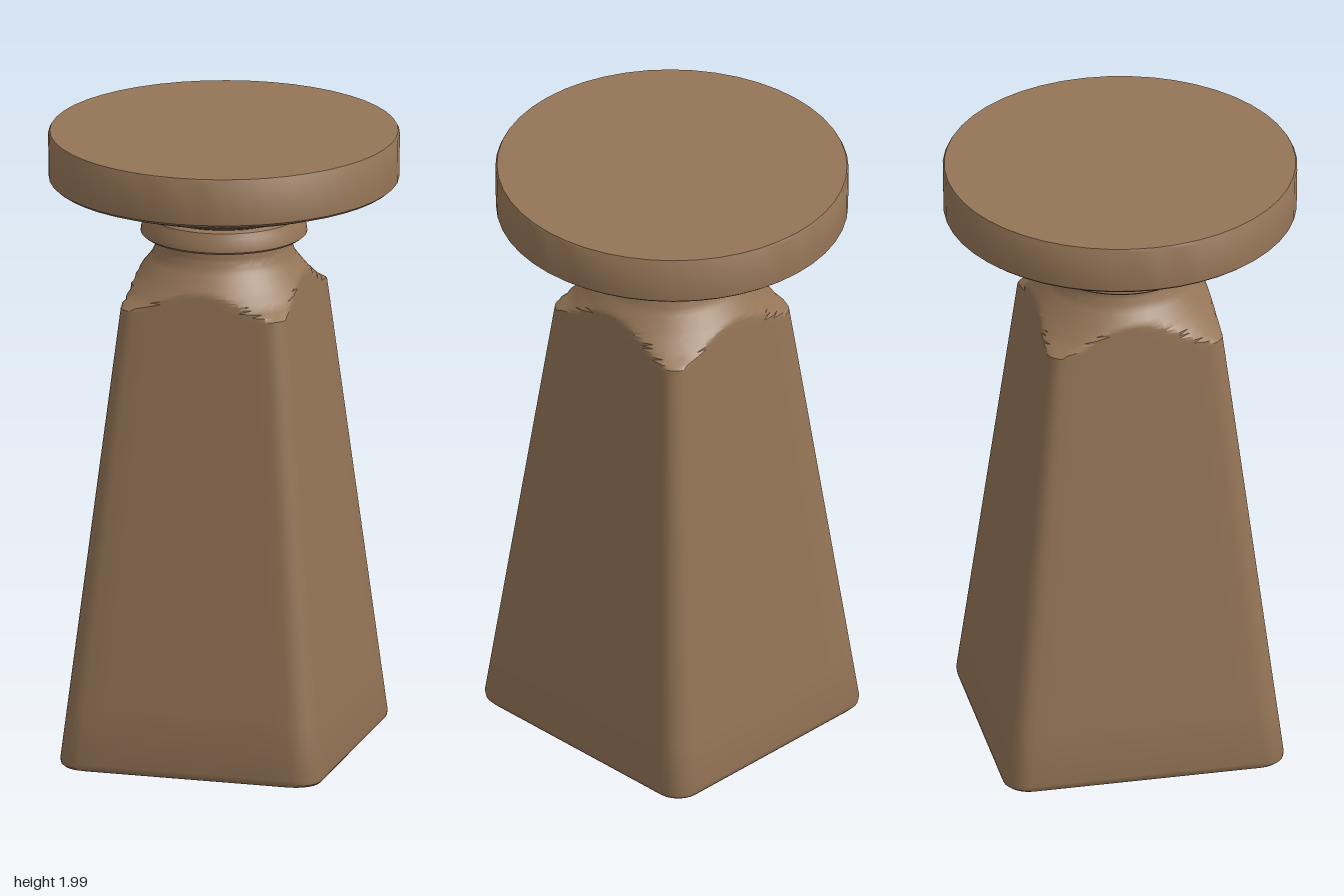
import * as THREE from 'three';
import { toCreasedNormals } from 'three/addons/utils/BufferGeometryUtils.js';

const wood = new THREE.MeshStandardMaterial({ color: 0x947456 });
wood.name = 'brown wood';
wood.userData.part = 'wood';

// Outline of a rounded rectangle, counter-clockwise seen from above
function roundedRect(hx, hz, r) {
  const pts = [], arc = 6, side = 10;
  for (let c = 0; c < 4; c++) {
    const sx = c === 0 || c === 3 ? 1 : -1, sz = c < 2 ? 1 : -1;
    for (let i = 0; i <= arc; i++) {
      const a = (c + i / arc) * Math.PI / 2;
      pts.push([sx * (hx - r) + r * Math.cos(a), sz * (hz - r) + r * Math.sin(a)]);
    }
    // straight side towards the next corner
    const n = (c + 1) % 4;
    const nx = n === 0 || n === 3 ? 1 : -1, nz = n < 2 ? 1 : -1;
    const a = (c + 1) * Math.PI / 2;
    const end = [nx * (hx - r) + r * Math.cos(a), nz * (hz - r) + r * Math.sin(a)];
    const start = pts[pts.length - 1];
    for (let i = 1; i < side; i++) {
      const t = i / side;
      pts.push([start[0] + (end[0] - start[0]) * t, start[1] + (end[1] - start[1]) * t]);
    }
  }
  return pts;
}

// Round shoulder that trims the tapered square body
const shoulder = [[1.44, 0.42], [1.47, 0.365], [1.5, 0.315], [1.54, 0.275], [1.57, 0.25],
  [1.6, 0.226], [1.63, 0.213], [1.67, 0.208]];
function shoulderRadius(y) {
  if (y <= shoulder[0][0]) return Infinity;
  for (let i = 1; i < shoulder.length; i++) {
    const [y0, r0] = shoulder[i - 1], [y1, r1] = shoulder[i];
    if (y <= y1) return r0 + (r1 - r0) * (y - y0) / (y1 - y0);
  }
  return shoulder[shoulder.length - 1][1];
}

function bodyGeometry() {
  // height and inset of each cross-section
  const levels = [[0.01, 0.024], [0.014, 0.012], [0.022, 0.004], [0.037, 0]];
  for (let i = 1; i <= 8; i++) levels.push([0.037 + 1.403 * i / 8, 0]);
  for (let i = 1; i <= 23; i++) levels.push([1.44 + i * 0.01, 0]);
  const pos = [], idx = [];
  let n = 0;
  for (const [y, inset] of levels) {
    const t = y / 1.52, R = shoulderRadius(y);
    const ring = roundedRect(0.426 - 0.163 * t - inset, 0.451 - 0.176 * t - inset, 0.075 - 0.02 * t);
    n = ring.length;
    for (const [x, z] of ring) {
      const s = Math.min(1, R / Math.hypot(x, z));
      pos.push(x * s, y, z * s);
    }
  }
  for (let j = 0; j < levels.length - 1; j++) {
    for (let i = 0; i < n; i++) {
      const a = j * n + i, b = j * n + (i + 1) % n;
      idx.push(a, a + n, b, b, a + n, b + n);
    }
  }
  // bottom and top faces
  const last = (levels.length - 1) * n, bottom = pos.length / 3;
  pos.push(0, 0.008, 0, 0, 1.67, 0);
  for (let i = 0; i < n; i++) {
    const k = (i + 1) % n;
    idx.push(bottom, i, k, bottom + 1, last + k, last + i);
  }
  const g = new THREE.BufferGeometry();
  g.setAttribute('position', new THREE.Float32BufferAttribute(pos, 3));
  g.setIndex(idx);
  return toCreasedNormals(g, 0.6);
}

function turned(profile, segments) {
  const pts = profile.map(([r, y]) => new THREE.Vector2(r, y));
  return toCreasedNormals(new THREE.LatheGeometry(pts, segments), 0.6);
}

export function createModel() {
  const model = new THREE.Group();
  model.name = 'pedestal';
  const add = (name, geometry) => {
    const m = new THREE.Mesh(geometry, wood);
    m.name = name;
    model.add(m);
    return m;
  };

  add('taperedBody', bodyGeometry());

  // Rounded collar on the neck
  add('neckCollar', turned([[0, 1.655], [0.205, 1.655], [0.225, 1.666], [0.25, 1.667], [0.26, 1.675],
    [0.258, 1.692], [0.247, 1.715], [0.24, 1.732], [0.23, 1.738], [0, 1.738]], 48));

  // Flared round top
  const cap = add('roundTop', turned([[0, 1.73], [0.215, 1.73], [0.222, 1.742], [0.262, 1.752],
    [0.285, 1.766], [0.3, 1.776], [0.355, 1.783], [0.45, 1.812], [0.535, 1.841], [0.546, 1.85],
    [0.548, 1.99], [0.543, 1.999], [0, 2]], 48));
  cap.scale.z = 1.01;

  return model;
}
